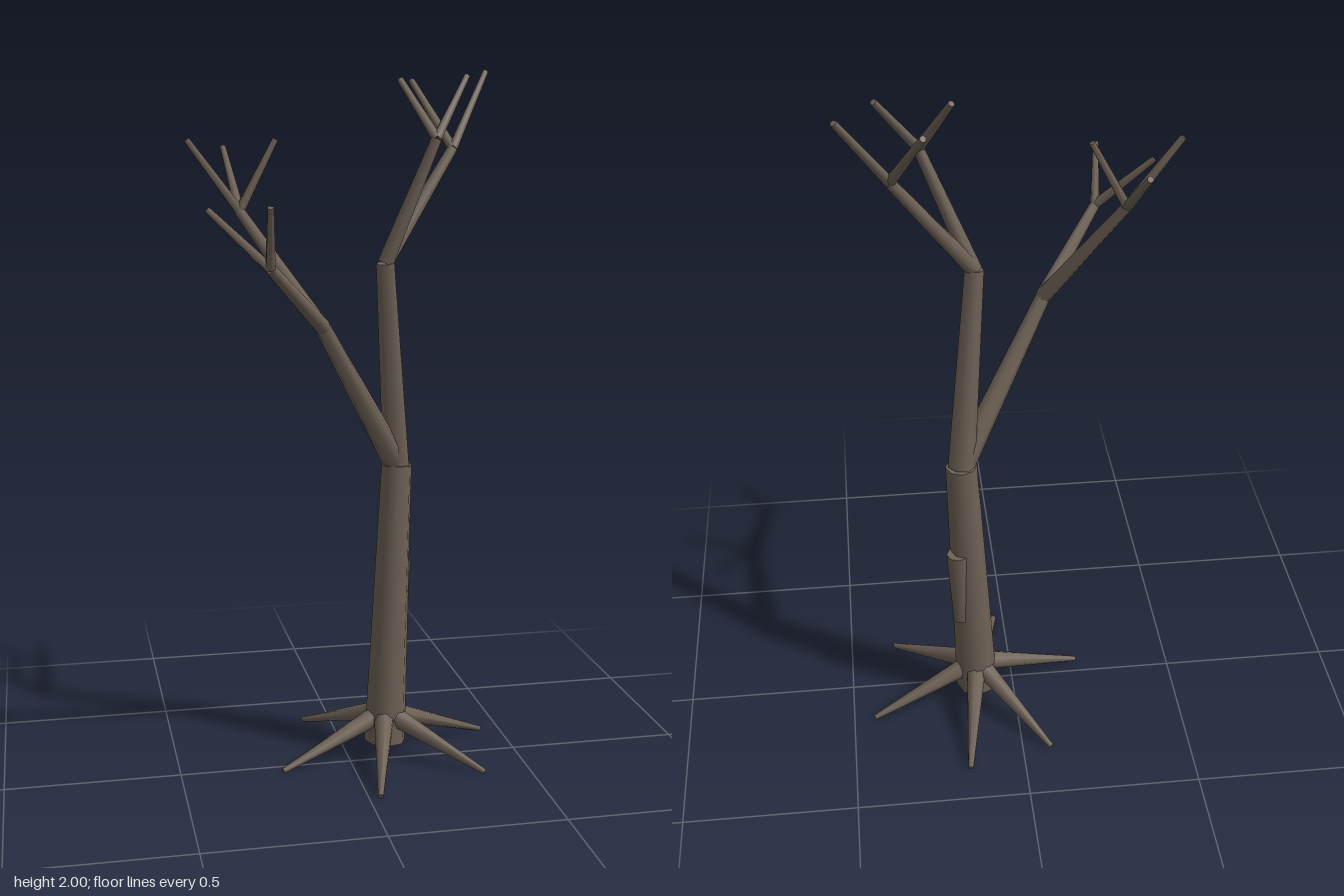
import * as THREE from 'three';

const bark = new THREE.MeshStandardMaterial({ color: 0x6e6256 });
bark.name = 'bark';

// Tapered limb from point a (radius ra) to point b (radius rb)
function limb(name, a, b, ra, rb, sides = 7) {
  const start = new THREE.Vector3(...a);
  const end = new THREE.Vector3(...b);
  const dir = end.clone().sub(start);
  const mesh = new THREE.Mesh(new THREE.CylinderGeometry(rb, ra, dir.length(), sides), bark);
  mesh.name = name;
  mesh.position.copy(start).add(end).multiplyScalar(0.5);
  mesh.quaternion.setFromUnitVectors(new THREE.Vector3(0, 1, 0), dir.normalize());
  return mesh;
}

export function createModel() {
  const tree = new THREE.Group();
  tree.name = 'bareTree';

  // Trunk, with a long scar bulging from its back left side
  const base = [0.115, 0.04, -0.054];
  const crown = [0.15, 0.88, -0.067];
  tree.add(limb('trunk', base, crown, 0.062, 0.045, 8));
  tree.add(limb('barkScar', [0.158, 0.33, -0.082], [0.166, 0.58, -0.086], 0.026, 0.034, 8));

  // Main branches, each with two forks that end in twigs
  const branches = [
    {
      end: [-0.1, 1.31, 0.115], radii: [0.037, 0.022],
      forks: [
        { end: [-0.27, 1.49, 0.305], twigs: [[-0.425, 1.64, 0.265], [-0.28, 1.65, 0.382]] },
        { end: [-0.31, 1.62, 0.023], twigs: [[-0.45, 1.81, 0.026], [-0.21, 1.81, 0.015], [-0.33, 1.785, -0.165]] },
      ],
    },
    {
      end: [0.1, 1.47, 0], radii: [0.04, 0.027],
      forks: [
        { end: [0.235, 1.81, 0.03], twigs: [[0.155, 1.97, -0.075], [0.345, 1.98, -0.068]] },
        { end: [0.315, 1.78, -0.1], twigs: [[0.237, 1.97, -0.278], [0.443, 1.995, -0.222]] },
      ],
    },
  ];
  for (const { end, radii, forks } of branches) {
    tree.add(limb('branch', crown, end, ...radii));
    for (const fork of forks) {
      tree.add(limb('fork', end, fork.end, 0.023, 0.015));
      for (const tip of fork.twigs) tree.add(limb('twig', fork.end, tip, 0.014, 0.009, 6));
    }
  }

  // Roots spreading from the foot of the trunk
  const rootTips = [
    [0.437, -0.147], [0.362, 0.172], [0.031, 0.273],
    [-0.208, 0.048], [-0.085, -0.327], [0.164, -0.388],
  ];
  for (const [x, z] of rootTips) {
    const angle = Math.atan2(z - base[2], x - base[0]);
    const start = [base[0] + Math.cos(angle) * 0.045, 0.115, base[2] + Math.sin(angle) * 0.045];
    tree.add(limb('root', start, [x, 0.01, z], 0.029, 0.008));
  }
  return tree;
}
